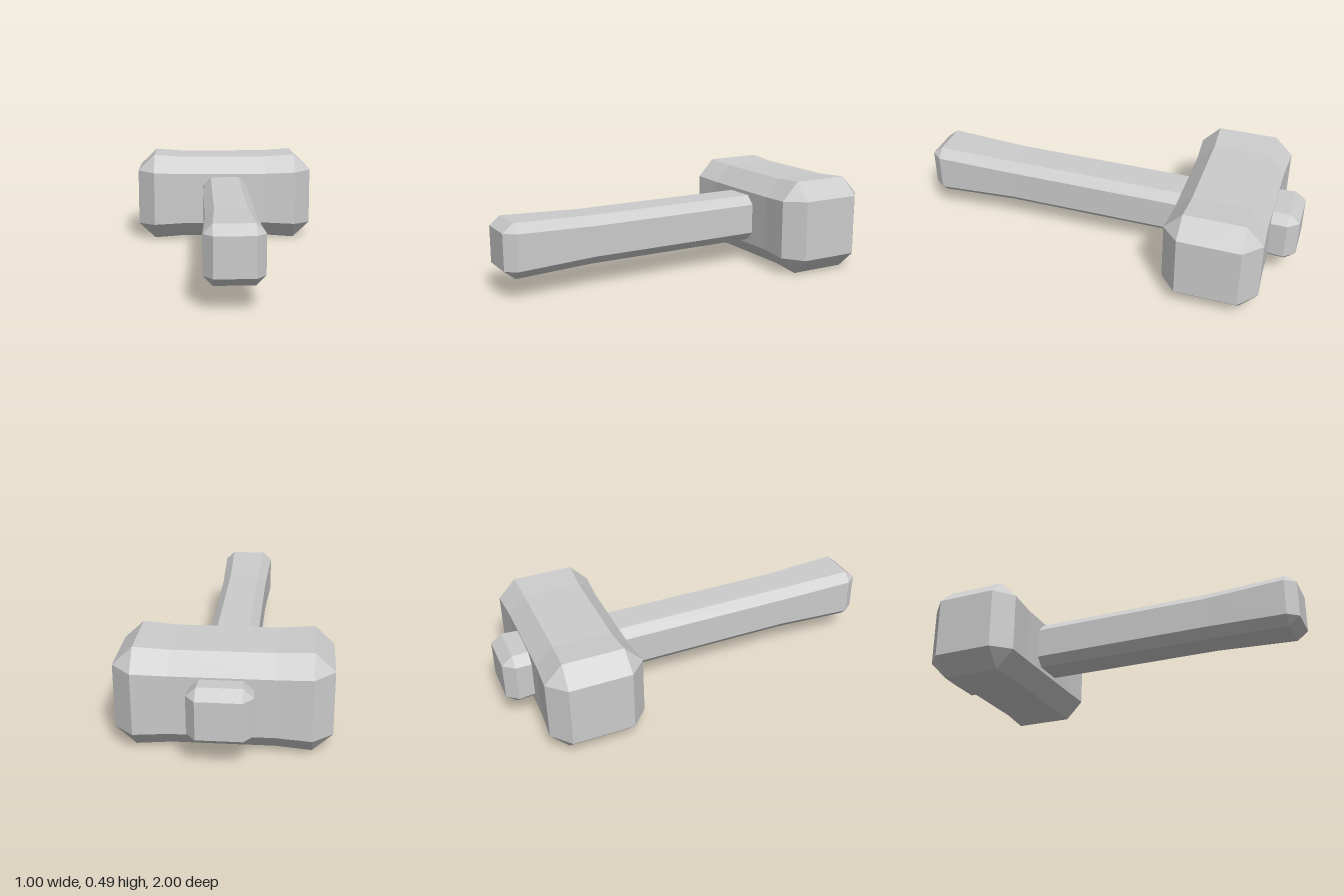
import * as THREE from 'three';

// Chamfered-square outline: half sizes a (x) and b (y), flat halves fx and fy
const outline = ([z, a, b, fx, fy]) => [
  [a, -fy], [a, fy], [fx, b], [-fx, b], [-a, fy], [-a, -fy], [-fx, -b], [fx, -b],
].map(([x, y]) => new THREE.Vector3(x, y, z));

// Joins outlines along z (back to front) into a closed, flat-faceted solid
function loft(sections) {
  const rings = sections.map(outline);
  const pos = [];
  const tri = (a, b, c) => {
    if (new THREE.Triangle(a, b, c).getArea() < 1e-8) return;
    for (const p of [a, b, c]) pos.push(p.x, p.y, p.z);
  };
  for (let s = 0; s < rings.length - 1; s++) {
    const r = rings[s], q = rings[s + 1];
    for (let i = 0; i < 8; i++) {
      const j = (i + 1) % 8;
      tri(r[i], r[j], q[j]);
      tri(r[i], q[j], q[i]);
    }
  }
  const first = rings[0], last = rings[rings.length - 1];
  for (let i = 1; i < 7; i++) {
    tri(first[0], first[i + 1], first[i]);
    tri(last[0], last[i], last[i + 1]);
  }
  const geo = new THREE.BufferGeometry();
  geo.setAttribute('position', new THREE.Float32BufferAttribute(pos, 3));
  geo.computeVertexNormals();
  return geo;
}

export function createModel() {
  const group = new THREE.Group();
  const material = new THREE.MeshStandardMaterial({ color: 0xcccccc, flatShading: true });
  const add = (name, geo, y, z) => {
    const mesh = new THREE.Mesh(geo, material);
    mesh.name = name;
    mesh.position.set(0, y, z);
    group.add(mesh);
  };

  // Head: symmetric block, waisted in the middle, with bevelled striking faces
  const half = [
    [0.24, 0.232, 0.234, 0.145, 0.144],
    [0.406, 0.242, 0.245, 0.152, 0.151],
    [0.5, 0.156, 0.156, 0.156, 0.156],
  ];
  const mirrored = half.map(([z, ...r]) => [-z, ...r]).reverse();
  add('hammerHead', loft([...mirrored, ...half]).rotateY(Math.PI / 2), 0.246, -0.632);

  // Handle: flares at the grip end and at the stub behind the head
  add('handle', loft([
    [-1, 0.105, 0.093, 0.105, 0.093],
    [-0.945, 0.15, 0.136, 0.103, 0.093],
    [-0.54, 0.124, 0.124, 0.08, 0.078],
    [0.54, 0.124, 0.124, 0.08, 0.078],
    [0.945, 0.138, 0.137, 0.093, 0.092],
    [1, 0.094, 0.093, 0.094, 0.093],
  ]), 0.247, 0);

  return group;
}
